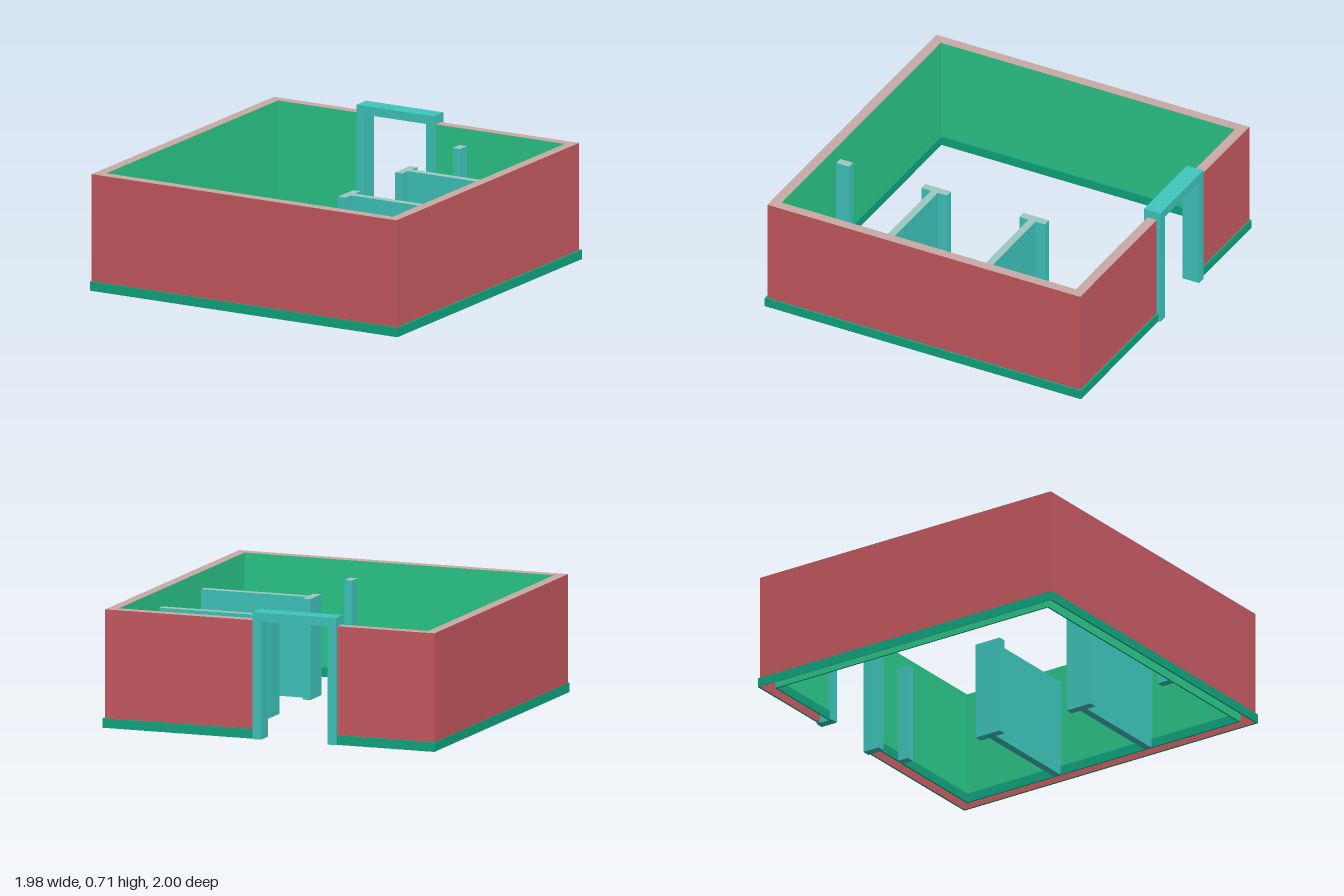
import * as THREE from 'three';

const mat = (name, color, side = THREE.FrontSide) => {
  const m = new THREE.MeshStandardMaterial({ color, side });
  m.name = name;
  return m;
};

export function createModel() {
  const group = new THREE.Group();
  const red = mat('outer wall red', 0xc85b62, THREE.DoubleSide);
  const green = mat('inner wall green', 0x2bc98a, THREE.DoubleSide);
  const cap = mat('wall top pink', 0xc9aaa6);
  const base = mat('skirting green', 0x10a880);
  const teal = mat('frame teal', 0x3fc8be);
  const pale = mat('partition top pale teal', 0x9dc9c0);
  const WALL = 0.664, SKIRT = 0.053;

  const add = (name, geometry, material) => {
    const mesh = new THREE.Mesh(geometry, material);
    mesh.name = name;
    group.add(mesh);
  };
  const box = (name, x0, x1, y0, y1, z0, z1, material) => {
    const g = new THREE.BoxGeometry(x1 - x0, y1 - y0, z1 - z0);
    g.translate((x0 + x1) / 2, (y0 + y1) / 2, (z0 + z1) / 2);
    add(name, g, material);
  };

  // Floor outline from one door jamb around the room to the other
  const path = (x0, x1, z0, z1) =>
    [[0.06, z0], [x1, z0], [x1, z1], [x0, z1], [x0, z0], [-0.39, z0]];
  // Flat band between two outlines
  const band = (a, b) => new THREE.Shape(
    [...a, ...b.slice().reverse()].map(([x, z]) => new THREE.Vector2(x, -z)));
  // Upright sheet along an outline
  const sheet = (p) => {
    const pos = [];
    for (let i = 0; i < p.length - 1; i++) {
      const [ax, az] = p[i], [bx, bz] = p[i + 1];
      pos.push(ax, 0, az, ax, WALL, az, bx, WALL, bz, ax, 0, az, bx, WALL, bz, bx, 0, bz);
    }
    const g = new THREE.BufferGeometry();
    g.setAttribute('position', new THREE.Float32BufferAttribute(pos, 3));
    g.computeVertexNormals();
    return g;
  };
  const flip = (p) => p.slice().reverse();

  // Walls, open underneath
  const outer = path(-0.99, 0.973, -0.976, 0.99);
  const inner = path(-0.93, 0.915, -0.918, 0.93);
  add('outerWall', sheet(flip(outer)), red);
  add('innerWall', sheet(inner), green);
  add('wallTop', new THREE.ShapeGeometry(band(outer, inner)).rotateX(-Math.PI / 2).translate(0, WALL, 0), cap);

  // Skirting strips on both sides of the walls
  const skirting = (name, a, b) => add(name,
    new THREE.ExtrudeGeometry(band(a, b), { depth: SKIRT, bevelEnabled: false }).rotateX(-Math.PI / 2), base);
  skirting('outerSkirting', path(-0.994, 0.985, -0.987, 1.0), path(-0.991, 0.974, -0.977, 0.991));
  skirting('innerSkirting', path(-0.929, 0.914, -0.917, 0.929), path(-0.92, 0.905, -0.908, 0.92));

  // Door frame
  const f0 = -0.413, f1 = 0.085, w = 0.05;
  box('doorPost', f0, f0 + w, 0, WALL, -1, -0.897, teal);
  box('doorPost', f1 - w, f1, 0, WALL, -1, -0.897, teal);
  box('doorLintel', f0, f1, WALL, 0.714, -1, -0.897, teal);

  // Stall partitions with pale top faces
  const stall = [teal, teal, pale, teal, teal, teal];
  const H = 0.567;
  for (const z of [-0.303, 0.312]) {
    box('stallPost', 0.24, 0.287, 0, H, z - 0.081, z + 0.081, stall);
    box('stallPanel', 0.287, 0.915, 0, H, z - 0.022, z + 0.022, stall);
  }
  box('stallEndPost', 0.24, 0.287, 0, H, -0.916, -0.843, stall);
  box('stallEndPost', 0.24, 0.287, 0, H, 0.848, 0.928, stall);

  return group;
}
